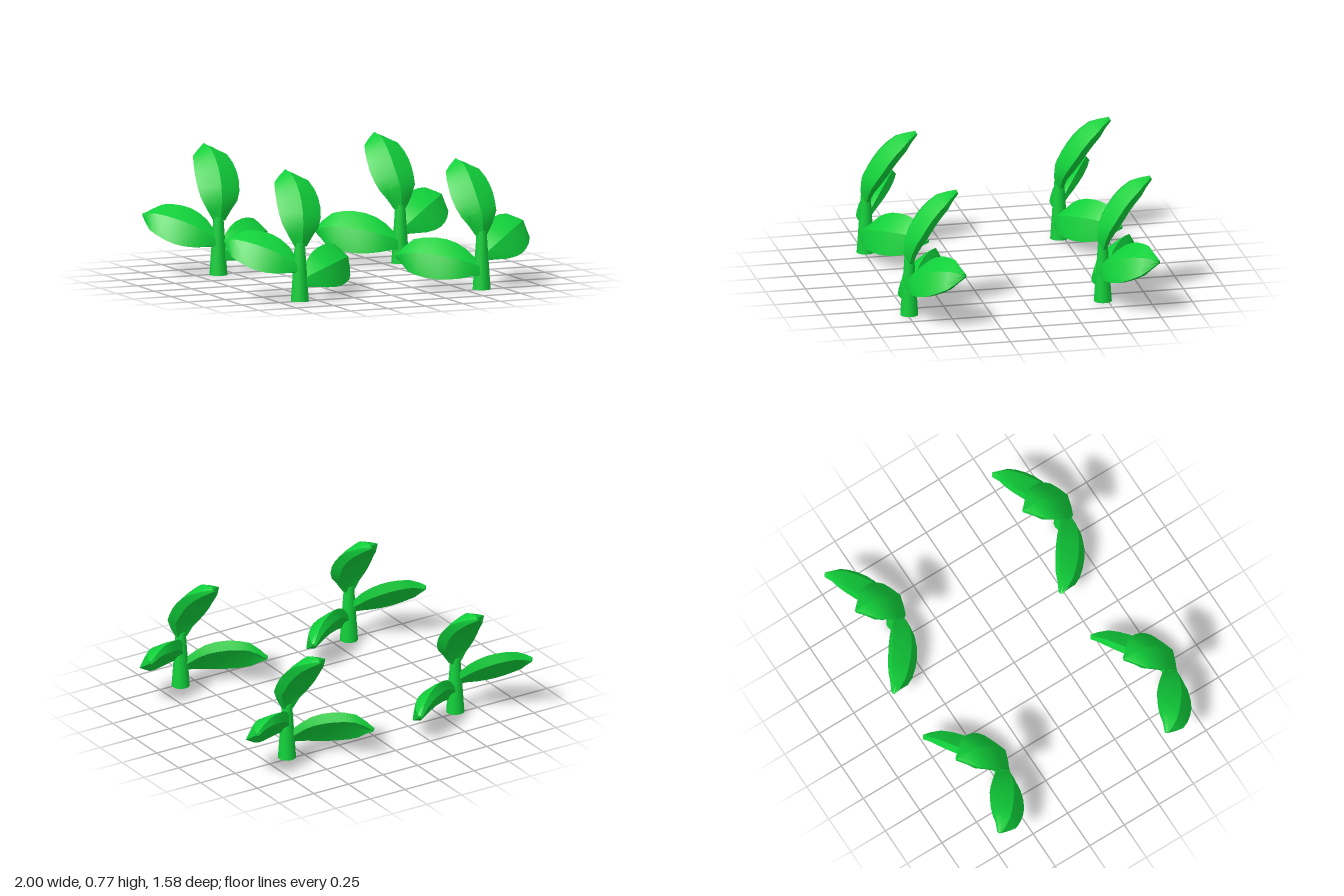
import * as THREE from 'three';
import { toCreasedNormals } from 'three/addons/utils/BufferGeometryUtils.js';

// Cross-section of a leaf: x = across (times half width), y = thickness (front is +)
const SECTION = [[1, 0], [0.6, 0.48], [0, 1], [-0.6, 0.48], [-1, 0], [-0.74, -1], [0, -0.8], [0.74, -1]];
const STEPS = 9;

// Axis points, half widths along the axis and the across direction for each leaf
const LEAVES = [
  {
    name: 'topLeaf', side: [1, 0, 0],
    axis: [[-0.605, 0.335, 0.742], [-0.598, 0.45, 0.728], [-0.582, 0.548, 0.674], [-0.575, 0.635, 0.612], [-0.572, 0.715, 0.522], [-0.57, 0.757, 0.43]],
    widths: [0.04, 0.115, 0.14, 0.136, 0.106, 0.008],
  },
  {
    name: 'innerLeaf', side: [0.1, -0.82, 0.56],
    axis: [[-0.6, 0.125, 0.752], [-0.5, 0.158, 0.73], [-0.4, 0.182, 0.675], [-0.3, 0.198, 0.598], [-0.22, 0.203, 0.52], [-0.168, 0.19, 0.445]],
    widths: [0.045, 0.1, 0.135, 0.133, 0.098, 0.008],
  },
  {
    name: 'outerLeaf', side: [0.42, 0.72, -0.53],
    axis: [[-0.615, 0.205, 0.75], [-0.7, 0.25, 0.715], [-0.79, 0.292, 0.662], [-0.87, 0.325, 0.605], [-0.945, 0.35, 0.54], [-0.993, 0.358, 0.472]],
    widths: [0.035, 0.105, 0.142, 0.134, 0.095, 0.008],
  },
];

// Lofts the section along the axis; m = -1 builds the mirrored leaf
function leafGeometry({ axis, widths, side }, m) {
  const curve = new THREE.CatmullRomCurve3(axis.map(([x, y, z]) => new THREE.Vector3(x * m, y, z)));
  const widthCurve = new THREE.SplineCurve(widths.map((w, i) => new THREE.Vector2(i, w)));
  const positions = [];
  const index = [];
  const n = SECTION.length;
  for (let k = 0; k <= STEPS; k++) {
    const t = k / STEPS;
    const center = curve.getPoint(t);
    const tangent = curve.getTangent(t);
    // The mirrored across direction is also reversed, so the front stays in front
    const across = new THREE.Vector3(side[0], side[1] * m, side[2] * m);
    across.addScaledVector(tangent, -across.dot(tangent)).normalize();
    const front = across.clone().cross(tangent);
    const w = widthCurve.getPoint(t).y;
    const depth = 0.012 + w * 0.28;
    for (const [a, b] of SECTION) {
      const p = center.clone().addScaledVector(across, a * w).addScaledVector(front, b * depth);
      positions.push(p.x, p.y, p.z);
    }
  }
  for (let k = 0; k < STEPS; k++) {
    for (let j = 0; j < n; j++) {
      const a = k * n + j, b = k * n + (j + 1) % n;
      index.push(a, a + n, b, b, a + n, b + n);
    }
  }
  // Close both ends
  const last = STEPS * n;
  for (let j = 1; j < n - 1; j++) {
    index.push(0, j, j + 1, last, last + j + 1, last + j);
  }
  const g = new THREE.BufferGeometry();
  g.setAttribute('position', new THREE.Float32BufferAttribute(positions, 3));
  g.setIndex(index);
  return toCreasedNormals(g, THREE.MathUtils.degToRad(27));
}

// One sprout: a tapered stem with three leaves
function createSprout(m, material) {
  const sprout = new THREE.Group();
  const stem = new THREE.Mesh(new THREE.CylinderGeometry(0.031, 0.056, 0.36, 14), material);
  stem.name = 'stem';
  stem.position.set(-0.608 * m, 0.18, 0.738);
  sprout.add(stem);
  for (const leaf of LEAVES) {
    const mesh = new THREE.Mesh(leafGeometry(leaf, m), material);
    mesh.name = leaf.name;
    sprout.add(mesh);
  }
  return sprout;
}

export function createModel() {
  const model = new THREE.Group();
  model.name = 'sprouts';
  const green = new THREE.MeshStandardMaterial({ color: 0x10d03a });
  green.name = 'leaf green';

  // Mirrored left and right, repeated front and back
  for (const m of [1, -1]) {
    for (const [row, z] of [['front', 0], ['back', -1.21]]) {
      const sprout = createSprout(m, green);
      sprout.name = row + (m > 0 ? 'Right' : 'Left') + 'Sprout';
      sprout.position.z = z;
      model.add(sprout);
    }
  }
  return model;
}
